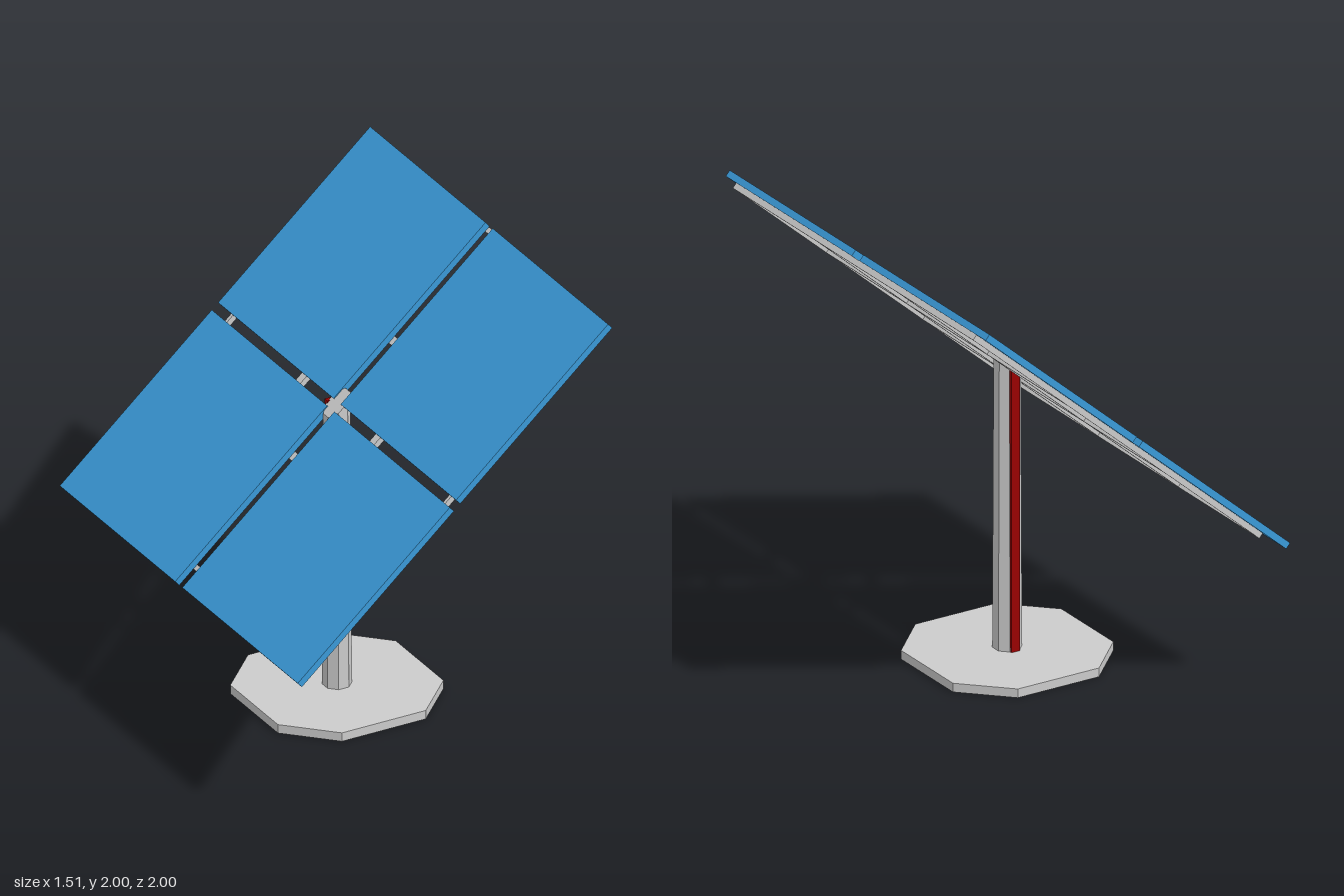
import * as THREE from 'three';

const TILT = 0.72;                    // panels rise toward +x
const PIVOT = { x: -0.014, y: 1.35 }; // centre of the upper panel surface
const mat = (color) => new THREE.MeshStandardMaterial({ color, flatShading: true });

export function createModel() {
  const model = new THREE.Group();
  const grey = mat(0xcccccc);
  const blue = mat(0x3a9ad9);
  const red = mat(0x990000);

  const add = (parent, name, geometry, material, x, y, z) => {
    const mesh = new THREE.Mesh(geometry, material);
    mesh.name = name;
    mesh.position.set(x, y, z);
    parent.add(mesh);
    return mesh;
  };
  // box given by its minimum and maximum corners
  const block = (parent, name, material, [x0, y0, z0], [x1, y1, z1]) =>
    add(parent, name, new THREE.BoxGeometry(x1 - x0, y1 - y0, z1 - z0), material,
      (x0 + x1) / 2, (y0 + y1) / 2, (z0 + z1) / 2);

  // eight-sided foot plate
  const a = 0.395, b = 0.2;
  const outline = [[a, -b], [a, b], [b, a], [-b, a], [-a, b], [-a, -b], [-b, -a], [b, -a]];
  const foot = new THREE.ExtrudeGeometry(
    new THREE.Shape(outline.map(([x, y]) => new THREE.Vector2(x, y))),
    { depth: 0.04, bevelEnabled: false });
  foot.rotateX(-Math.PI / 2);
  add(model, 'base', foot, grey, 0, 0, 0);

  // tapered octagonal post, its top cut along the slope of the panels
  const post = new THREE.CylinderGeometry(0.057, 0.063, 1, 8, 1, false, Math.PI / 8);
  const p = post.attributes.position;
  for (let i = 0; i < p.count; i++) {
    const cut = PIVOT.y + (p.getX(i) - PIVOT.x) * Math.tan(TILT) - 0.006;
    p.setY(i, p.getY(i) > 0 ? cut : 0.04);
  }
  post.computeVertexNormals();
  add(model, 'post', post, grey, 0, 0, 0);

  // red strip up the post
  block(model, 'strip', red, [-0.02, 0.04, -0.068], [0.022, 1.35, -0.045]);

  // tilted array: local x runs up the slope, local y is the panel normal
  const array = new THREE.Group();
  array.name = 'panelArray';
  array.position.set(PIVOT.x, PIVOT.y, 0);
  array.rotation.z = TILT;
  model.add(array);

  for (const [u0, u1] of [[-0.985, -0.02], [0.02, 0.985]])
    for (const [z0, z1] of [[-1, -0.03], [0.03, 1]])
      block(array, 'panel', blue, [u0, -0.03, z0], [u1, 0, z1]);

  // support frame beneath the panels
  const low = -0.895, high = 0.98, side = 0.925;
  for (const [u, w] of [[low + 0.012, 0.024], [-0.27, 0.038], [0.363, 0.038], [high - 0.012, 0.024]])
    block(array, 'crossRail', grey, [u - w / 2, -0.056, -side], [u + w / 2, -0.03, side]);
  for (const [z, w] of [[side - 0.008, 0.016], [0.31, 0.038]])
    for (const s of [-1, 1])
      block(array, 'slopeRail', grey, [low, -0.0555, s * z - w / 2], [high, -0.03, s * z + w / 2]);

  return model;
}
